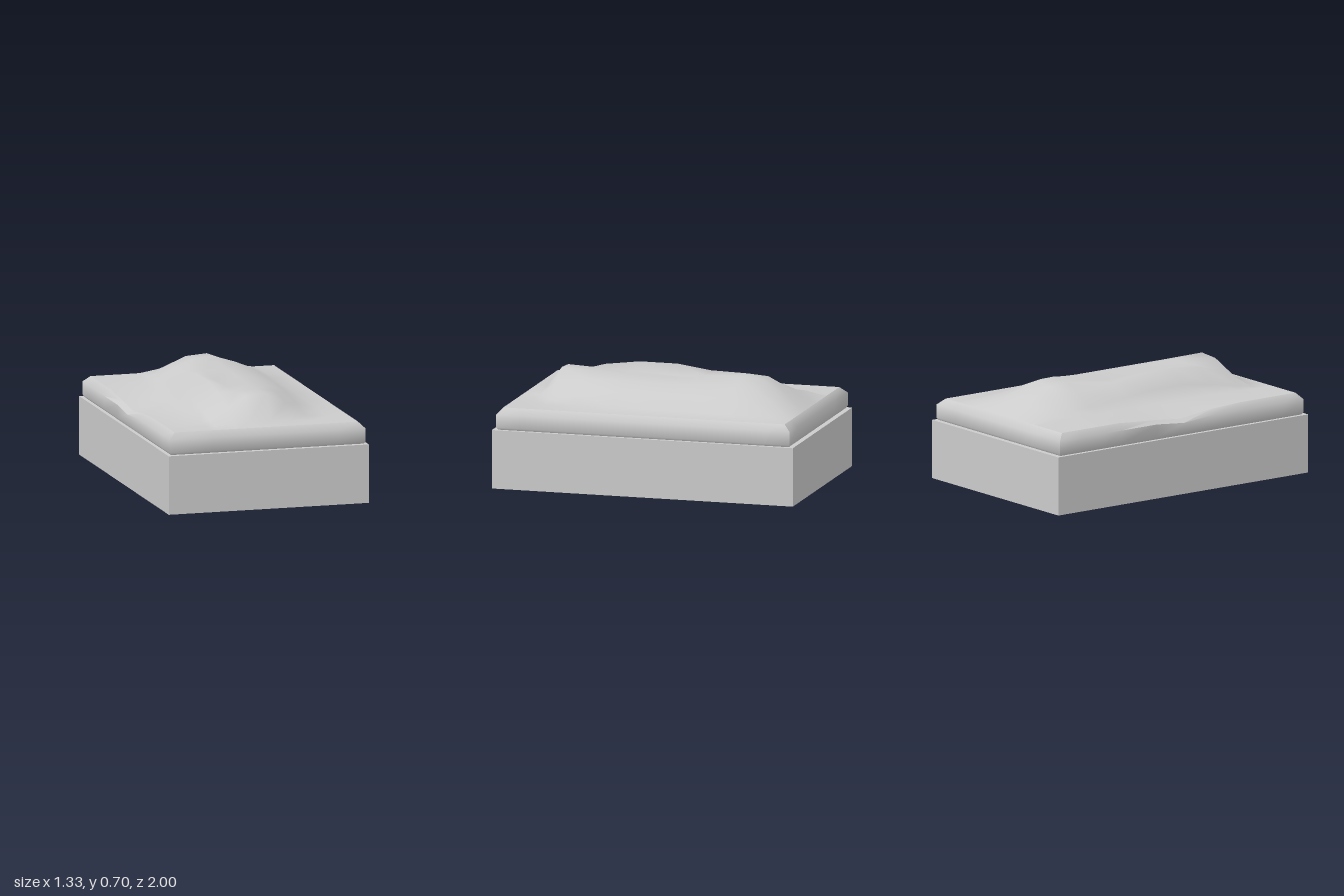
import * as THREE from 'three';
import { toCreasedNormals } from 'three/addons/utils/BufferGeometryUtils.js';

const BASE_Y = 0.38, TOP_Y = 0.52;

// Draped sheet: heights in hundredths above the slab, one cross-section per z
const xs = [-0.61, -0.36, -0.31, -0.19, -0.07, 0.07, 0.2, 0.33, 0.47, 0.61];
const sections = [
  [0.94, [0, 0, 0, 0, 0, 0, 0, 0, 0, 0]],
  [0.82, [0, 0, 0, 1, 2, 2, 1, 0, 0, 0]],
  [0.71, [0, 0, 2, 9, 16, 17, 10, 1, 0, 0]],
  [0.5, [0, 1, 6, 15, 15, 16, 13, 5, 1, 0]],
  [0.27, [-1, 1, 9, 18, 14, 15, 13, 8, 1, 0]],
  [0.02, [-4, 1, 9, 18, 13, 15, 13, 9, 1, 0]],
  [-0.2, [-2, 1, 7, 15, 14, 15, 13, 9, 1, 0]],
  [-0.48, [0, 1, 5, 12, 17, 18, 14, 9, 1, 0]],
  [-0.62, [0, 1, 4, 11, 16, 17, 12, 7, 1, 0]],
  [-0.8, [0, 1, 3, 5, 7, 7, 6, 4, 1, 0]],
  [-0.93, [0, 0, 0, 0, 0, 0, 0, 0, 0, 0]],
];

// Joins rows of points into a surface
function loft(rows) {
  const n = rows[0].length, index = [];
  for (let j = 0; j < rows.length - 1; j++) {
    for (let i = 0; i < n - 1; i++) {
      const a = j * n + i, d = a + n;
      index.push(a, a + 1, d + 1, a, d + 1, d);
    }
  }
  const geometry = new THREE.BufferGeometry();
  geometry.setAttribute('position', new THREE.Float32BufferAttribute(rows.flat(2), 3));
  geometry.setIndex(index);
  geometry.computeVertexNormals();
  return geometry;
}

export function createModel() {
  const group = new THREE.Group();
  const material = new THREE.MeshStandardMaterial({ color: 0xcccccc });
  const add = (name, geometry) => {
    const mesh = new THREE.Mesh(geometry, material);
    mesh.name = name;
    group.add(mesh);
    return mesh;
  };

  // Plain block underneath
  add('base', new THREE.BoxGeometry(1.33, BASE_Y, 2)).position.y = BASE_Y / 2;

  // Sheet draped over a reclining form
  const rows = sections.map(([z, h]) => h.map((v, i) => [xs[i], TOP_Y + v / 100, z]));
  add('drapedSheet', loft(rows));

  // Outline of the sheet: front, +x side, back, -x side
  const last = xs.length - 1;
  const outline = [
    ...rows[0],
    ...rows.slice(1).map((r) => r[last]),
    ...rows[rows.length - 1].slice(0, -1).reverse(),
    ...rows.slice(0, -1).reverse().map((r) => r[0]),
  ];

  // Rounded slab edge, from the foot up to the sheet
  const ring = (y, x, z) => outline.map((p) => [
    Math.abs(p[0]) === 0.61 ? Math.sign(p[0]) * x : p[0],
    Math.min(y, p[1] - 0.02),
    Math.abs(p[2]) > 0.9 ? Math.sign(p[2]) * z : p[2],
  ]);
  const edge = loft([ring(BASE_Y, 0.64, 0.965), ring(0.395, 0.65, 0.975), ring(0.48, 0.65, 0.975), outline]);
  add('slabEdge', toCreasedNormals(edge, 0.95));

  return group;
}
